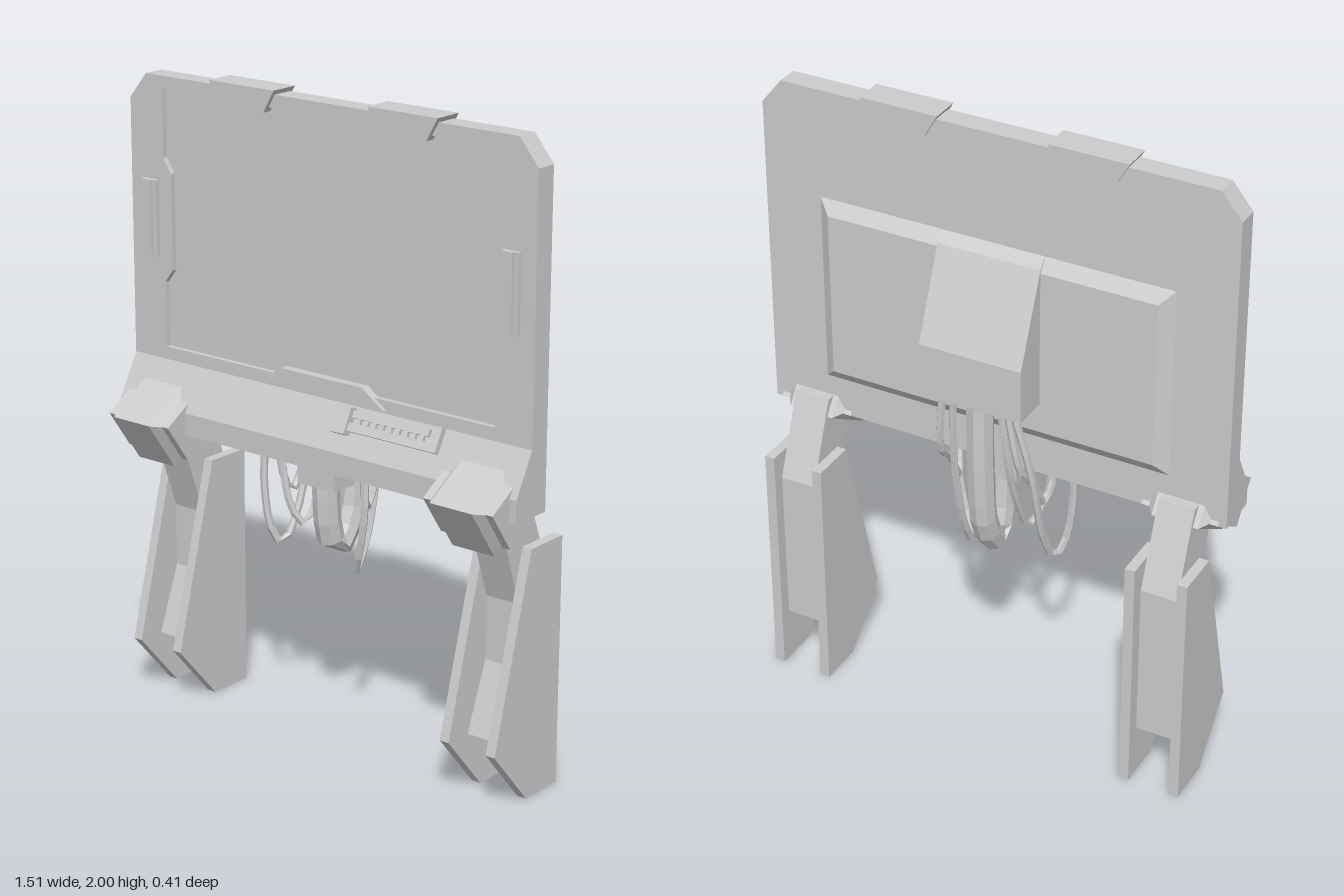
import * as THREE from 'three';

const mat = new THREE.MeshStandardMaterial({ color: 0xcccccc, flatShading: true });

const toShape = (pts) => new THREE.Shape(pts.map(([a, b]) => new THREE.Vector2(a, b)));

function add(parent, name, geometry) {
  const mesh = new THREE.Mesh(geometry, mat);
  mesh.name = name;
  parent.add(mesh);
  return mesh;
}

function box(parent, name, x0, x1, y0, y1, z0, z1) {
  const g = new THREE.BoxGeometry(x1 - x0, y1 - y0, z1 - z0);
  return add(parent, name, g.translate((x0 + x1) / 2, (y0 + y1) / 2, (z0 + z1) / 2));
}

// Outline in (x, y), extruded from z0 to z1
function extrudeZ(shape, z0, z1) {
  return new THREE.ExtrudeGeometry(shape, { depth: z1 - z0, bevelEnabled: false }).translate(0, 0, z0);
}

// Profile in (z, y), extruded along x around xc; an optional bevel narrows both ends
function extrudeX(pts, xc, width, bevel = 0, inset = 0) {
  const depth = width - 2 * bevel;
  const g = new THREE.ExtrudeGeometry(toShape(pts), {
    depth, bevelEnabled: bevel > 0, bevelThickness: bevel,
    bevelSize: inset, bevelOffset: -inset, bevelSegments: 1,
  });
  return g.translate(0, 0, -depth / 2).rotateY(-Math.PI / 2).translate(xc, 0, 0);
}

function cable(parent, name, pts, radius, segments, sides) {
  const curve = new THREE.CatmullRomCurve3(pts.map((p) => new THREE.Vector3(...p)), false, 'centripetal');
  return add(parent, name, new THREE.TubeGeometry(curve, segments, radius, sides));
}

function buildPanel(parent) {
  // Slab with cut top corners, and a front frame around the recessed screen
  const outline = [[-0.755, 1.1], [0.755, 1.1], [0.755, 1.905], [0.69, 1.985], [-0.69, 1.985], [-0.755, 1.905]];
  add(parent, 'panelSlab', extrudeZ(toShape(outline), -0.045, 0.008));
  const side = [[0.625, 1.145], [0.625, 1.35], [0.595, 1.39], [0.595, 1.69], [0.625, 1.735], [0.625, 1.945]];
  const mirrored = side.map(([x, y]) => [-x, y]).reverse();
  const frame = toShape(outline);
  frame.holes.push(toShape([...side, ...mirrored]));
  add(parent, 'screenFrame', extrudeZ(frame, 0.008, 0.025));

  // Thicker sloping base of the panel
  add(parent, 'panelBase', extrudeX(
    [[0.025, 1.105], [-0.045, 1.105], [-0.045, 0.905], [0.095, 0.905], [0.095, 0.975]], 0, 1.51));

  add(parent, 'lowerTab', extrudeZ(
    toShape([[-0.235, 1.115], [0.235, 1.115], [0.155, 1.17], [-0.155, 1.17]]), 0.008, 0.036));

  for (const s of [-1, 1]) {
    // Clips over the top edge
    const clip = [[-0.125, 2], [-0.085, 1.93], [0.085, 1.93], [0.125, 2]].map(([x, y]) => [x + s * 0.298, y]);
    add(parent, 'topClip', extrudeZ(toShape(clip), -0.055, 0.04));
    // Side grips with a raised bar
    box(parent, 'gripPlate', s * 0.675 - 0.03, s * 0.675 + 0.03, 1.425, 1.665, 0.02, 0.038);
    box(parent, 'gripBar', s * 0.675 - 0.014, s * 0.675 + 0.014, 1.425, 1.665, 0.03, 0.047);
  }

  // Bevelled back plate and the sloping housing on it
  const back = new THREE.ExtrudeGeometry(
    toShape([[-0.53, 1.07], [0.53, 1.07], [0.53, 1.6], [-0.53, 1.6]]),
    { depth: 0.01, bevelThickness: 0.03, bevelSize: 0.04, bevelSegments: 1 });
  add(parent, 'backPlate', back.translate(0, 0, -0.045));
  add(parent, 'backHousing', extrudeX(
    [[-0.05, 1.64], [-0.075, 1.61], [-0.19, 1.335], [-0.19, 1.165], [-0.05, 1.165]], 0, 0.33));
}

// Small stylus rack lying on the sloped base
function buildRack(parent) {
  const rack = new THREE.Group();
  rack.name = 'frontRack';
  rack.position.set(0, 1.063, 0.047);
  rack.rotation.x = -0.48;
  parent.add(rack);
  box(rack, 'rackBlock', 0.075, 0.132, -0.043, 0.04, -0.01, 0.03);
  box(rack, 'rackLowerBar', 0.13, 0.455, -0.03, -0.004, -0.01, 0.02);
  box(rack, 'rackEnd', 0.43, 0.455, -0.03, 0.047, -0.01, 0.02);
  box(rack, 'rackUpperBar', 0.13, 0.41, 0.012, 0.034, -0.01, 0.014);
  for (let i = 0; i < 9; i++) {
    const x = 0.15 + i * 0.029;
    box(rack, 'rackTooth', x, x + 0.014, -0.004, 0.012, -0.01, 0.012);
  }
}

function buildLeg(parent, s) {
  const leg = new THREE.Group();
  leg.name = s > 0 ? 'leftLeg' : 'rightLeg';
  parent.add(leg);
  const xc = s * 0.61;

  // Tilted hinge: bevelled core with smaller plates at both ends
  const hinge = [[0.205, 0.95], [0.025, 1.062], [-0.085, 0.905], [0.095, 0.793]];
  const flange = hinge.map(([z, y]) => [0.06 + (z - 0.06) * 0.78, 0.9275 + (y - 0.9275) * 0.78]);
  add(leg, 'hingeCore', extrudeX(hinge, xc, 0.195, 0.024, 0.025));
  add(leg, 'hingeFlange', extrudeX(flange, xc, 0.244));

  // Bent arm running down between the two foot plates
  add(leg, 'legArm', extrudeX([
    [0.03, 0.83], [-0.05, 0.6], [-0.05, 0.4], [0.03, 0.19], [-0.175, 0.19],
    [-0.175, 0.7], [-0.075, 0.96], [-0.02, 0.96],
  ], xc, 0.115));

  const plate = [[-0.05, 0.78], [-0.2, 0.78], [-0.2, 0], [-0.05, 0], [0.11, 0.185]];
  for (const side of [-1, 1]) add(leg, 'footPlate', extrudeX(plate, xc + side * 0.083, 0.032));
}

function buildCables(parent) {
  const group = new THREE.Group();
  group.name = 'cables';
  parent.add(group);

  // Thick central hose with its socket under the panel
  cable(group, 'mainHose', [
    [0, 1.18, -0.13], [0, 0.9, -0.125], [0, 0.7, -0.1], [0, 0.62, -0.035], [0, 0.69, 0], [0, 0.91, 0.015],
  ], 0.042, 14, 8);
  box(group, 'hoseSocket', -0.07, 0.07, 0.835, 0.91, -0.035, 0.06);

  // Thin loops: start x at the housing, bottom x and y, end x under the panel
  const loops = [
    [-0.12, -0.19, 0.595, -0.228],
    [-0.08, -0.1, 0.68, -0.155],
    [-0.1, -0.15, 0.78, -0.17],
    [0.075, 0.095, 0.565, 0.16],
    [0.11, 0.14, 0.79, 0.165],
  ];
  for (const [x0, xb, yb, x1] of loops) {
    const xs = xb + (x0 - xb) * 0.3;
    cable(group, 'cable', [
      [x0, 1.18, -0.155], [xs, 0.95, -0.13], [xb + (xs - xb) * 0.5, yb + 0.1, -0.07],
      [xb, yb, -0.01], [(xb + x1) / 2, yb + 0.05, 0.02], [x1, yb + 0.2, 0.03], [x1, Math.max(0.915, yb + 0.26), 0.025],
    ], 0.012, 18, 6);
  }
}

export function createModel() {
  const model = new THREE.Group();
  model.name = 'standingScreen';
  buildPanel(model);
  buildRack(model);
  for (const s of [-1, 1]) buildLeg(model, s);
  buildCables(model);
  return model;
}
